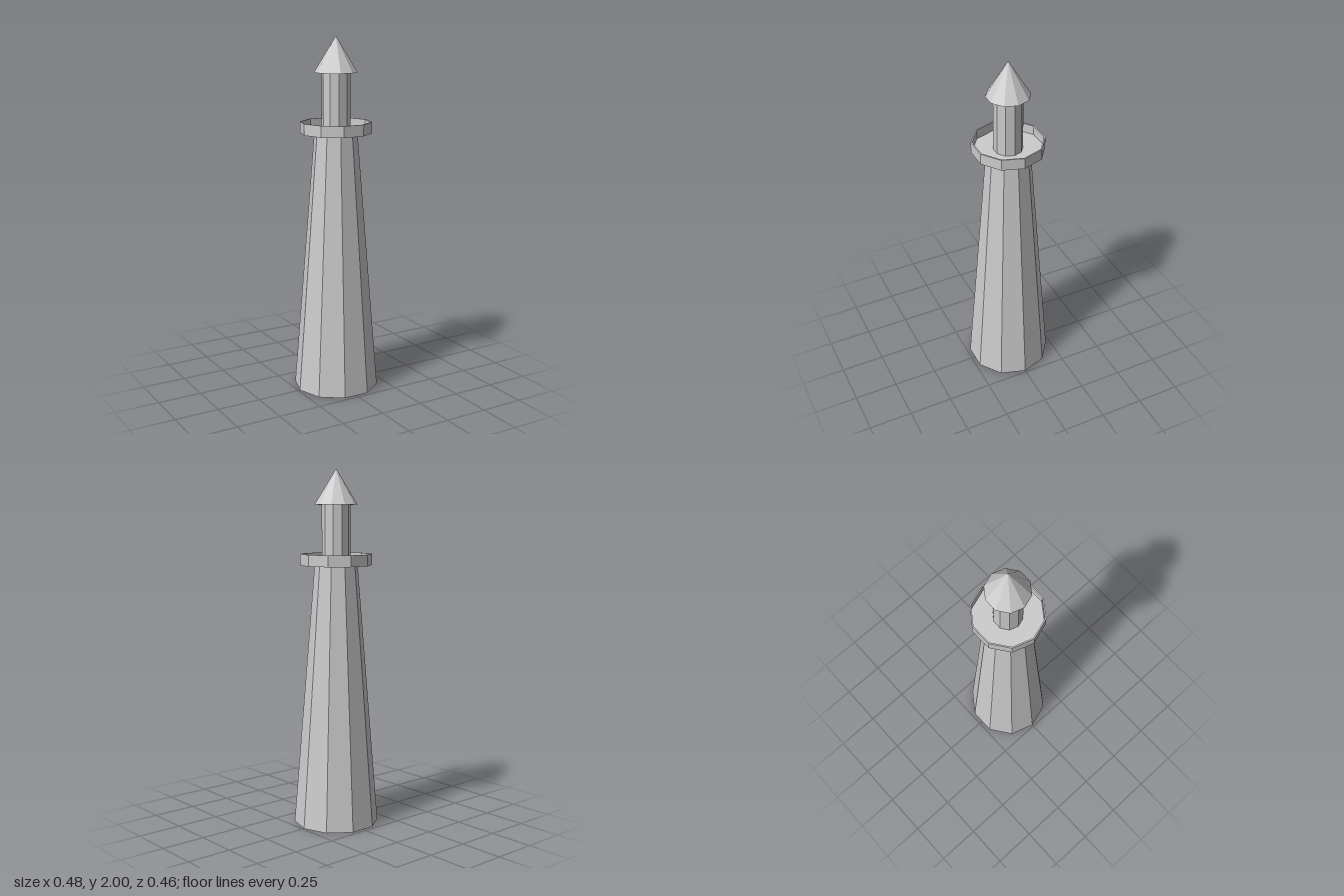
import * as THREE from 'three';

const SIDES = 10;
const START = Math.PI / 2; // puts a corner on the x axis

export function createModel() {
  const group = new THREE.Group();
  group.name = 'lighthouse';
  const stone = new THREE.MeshStandardMaterial({ color: 0xcccccc, flatShading: true });
  stone.name = 'light grey';

  const add = (name, geometry) => {
    const flat = geometry.toNonIndexed();
    flat.computeVertexNormals();
    const mesh = new THREE.Mesh(flat, stone);
    mesh.name = name;
    group.add(mesh);
  };

  // Upright ten-sided part between two heights
  const drum = (name, rBottom, rTop, y0, y1) => {
    const g = new THREE.CylinderGeometry(rTop, rBottom, y1 - y0, SIDES, 1, false, START);
    add(name, g.translate(0, (y0 + y1) / 2, 0));
  };

  drum('tower', 0.24, 0.12, 0, 1.475);
  drum('lantern', 0.08, 0.08, 1.475, 1.805);
  drum('roof', 0.12, 0, 1.805, 2);

  // Gallery: thin floor with a low parapet; its inner edges are hidden in tower and lantern
  const profile = [
    [0.05, 1.472], [0.2, 1.472], [0.2, 1.535], [0.192, 1.535], [0.192, 1.482], [0.05, 1.482],
  ].map(([r, y]) => new THREE.Vector2(r, y));
  add('gallery', new THREE.LatheGeometry(profile, SIDES, START));

  return group;
}
